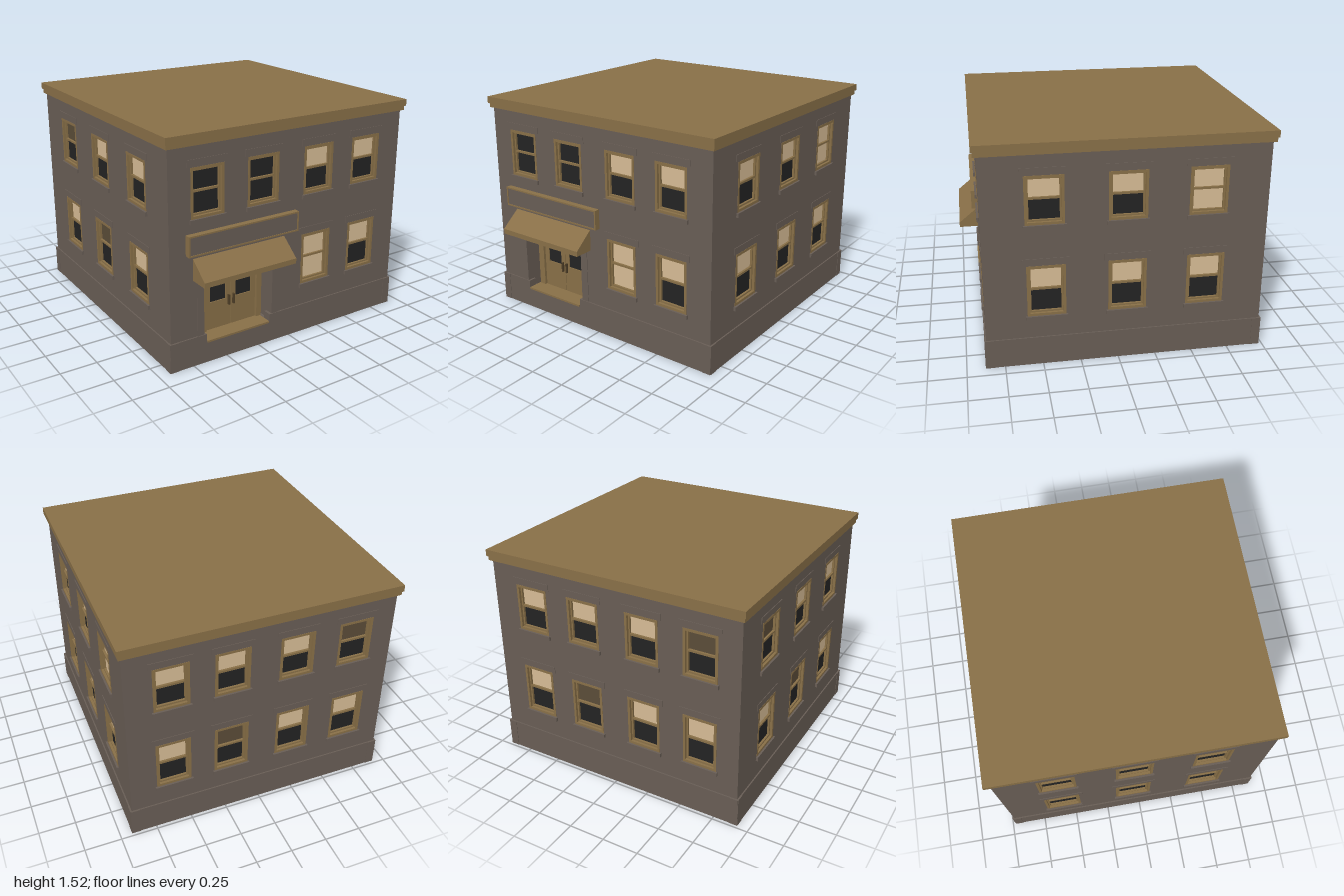
import * as THREE from 'three';

const mat = (name, color, side = THREE.FrontSide) => {
  const m = new THREE.MeshStandardMaterial({ color, side });
  m.name = name;
  return m;
};

export function createModel() {
  const wallMat = mat('wall', 0x685d55);
  const trimMat = mat('tan trim', 0x886f47);
  const handleMat = mat('dark bronze', 0x4f3f28);
  const creamMat = mat('cream blind', 0xd6bb95);
  const darkMat = mat('dark glass', 0x232323);
  const dimMat = mat('dim interior', 0x5a4c38);

  const model = new THREE.Group();
  model.name = 'building';

  const add = (parent, name, geometry, material, x = 0, y = 0, z = 0) => {
    const m = new THREE.Mesh(geometry, material);
    m.name = name;
    m.position.set(x, y, z);
    parent.add(m);
    return m;
  };
  // box given by its limits
  const box = (parent, name, material, x0, x1, y0, y1, z0, z1) =>
    add(parent, name, new THREE.BoxGeometry(x1 - x0, y1 - y0, z1 - z0), material,
      (x0 + x1) / 2, (y0 + y1) / 2, (z0 + z1) / 2);
  const rectPath = (p, x0, x1, y0, y1) => {
    p.moveTo(x0, y0);
    p.lineTo(x1, y0);
    p.lineTo(x1, y1);
    p.lineTo(x0, y1);
    p.closePath();
    return p;
  };
  // rectangular panel with rectangular holes, from z0 to z1
  const panel = (parent, name, material, outer, holes, z0, z1) => {
    const s = rectPath(new THREE.Shape(), ...outer);
    holes.forEach((h) => s.holes.push(rectPath(new THREE.Path(), ...h)));
    return add(parent, name, new THREE.ExtrudeGeometry(s, { depth: z1 - z0, bevelEnabled: false }),
      material, 0, 0, z0);
  };
  const inset = ([x0, x1, y0, y1], d) => [x0 + d, x1 - d, y0 + d, y1 - d];

  const panes = { c: creamMat, d: darkMat, i: dimMat };
  // sash window; code gives the upper and lower pane
  const addWindow = (parent, rect, code) => {
    const g = new THREE.Group();
    g.name = 'window';
    parent.add(g);
    const [x0, x1, y0, y1] = rect;
    const sash = inset(rect, 0.017), glass = inset(rect, 0.028);
    const mid = (y0 + y1) / 2 + 0.008;
    panel(g, 'windowFrame', trimMat, rect, [sash], -0.05, 0.002);
    panel(g, 'windowSash', trimMat, sash, [glass], -0.045, -0.015);
    box(g, 'meetingRail', trimMat, glass[0], glass[1], mid - 0.007, mid + 0.007, -0.045, -0.015);
    box(g, 'upperPane', panes[code[0]], glass[0], glass[1], mid, glass[3], -0.037, -0.03);
    box(g, 'lowerPane', panes[code[1]], glass[0], glass[1], glass[2], mid, -0.037, -0.03);
    box(g, 'windowSill', wallMat, x0 - 0.011, x1 + 0.011, y0 - 0.028, y0, -0.04, 0.015);
    box(g, 'lintel', wallMat, x0 - 0.025, x1 + 0.025, y1 + 0.006, y1 + 0.05, -0.02, 0.004);
  };

  const zc = -0.051, halfX = 0.91, halfZ = 0.917;
  const rows = [[0.99, 1.313], [0.356, 0.71]];
  const doorHole = [-0.67, -0.145, 0.15, 0.6];
  const walls = [
    { name: 'frontWall', rot: 0, half: halfX, dist: halfZ, w: 0.237,
      xs: [-0.638, -0.228, 0.21, 0.61], codes: [['dd', 'dd', 'cd', 'cd'], ['', '', 'cc', 'cd']], holes: [doorHole] },
    { name: 'rightSideWall', rot: Math.PI / 2, half: halfZ, dist: halfX, w: 0.25,
      xs: [-0.519, 0.005, 0.521], codes: [['cd', 'cd', 'cc'], ['cd', 'cd', 'cd']], holes: [] },
    { name: 'backWall', rot: Math.PI, half: halfX, dist: halfZ, w: 0.237,
      xs: [-0.61, -0.21, 0.228, 0.638], codes: [['cd', 'cd', 'cd', 'id'], ['cd', 'id', 'cd', 'cd']], holes: [] },
    { name: 'leftSideWall', rot: -Math.PI / 2, half: halfZ, dist: halfX, w: 0.25,
      xs: [-0.521, -0.005, 0.519], codes: [['id', 'cd', 'cd'], ['cd', 'id', 'cd']], holes: [] },
  ];

  // walls with their windows
  for (const wl of walls) {
    const g = new THREE.Group();
    g.name = wl.name;
    g.rotation.y = wl.rot;
    g.position.set(Math.sin(wl.rot) * wl.dist, 0, zc + Math.cos(wl.rot) * wl.dist);
    model.add(g);
    const holes = [...wl.holes];
    rows.forEach(([y0, y1], r) => wl.xs.forEach((x, i) => {
      const code = wl.codes[r][i];
      if (!code) return;
      const rect = [x - wl.w / 2, x + wl.w / 2, y0, y1];
      holes.push(rect);
      addWindow(g, rect, code);
    }));
    panel(g, 'wallPanel', wallMat, [-wl.half, wl.half, 0.02, 1.46], holes, -0.06, 0);
    // plinth, left open at the doorway on the front
    const b = wl.half + 0.012;
    const spans = wl.holes.length ? [[-b, -0.655], [-0.165, b]] : [[-b, b]];
    spans.forEach(([p, q]) => box(g, 'plinth', wallMat, p, q, 0, 0.2, -0.05, 0.009));
    if (wl.holes.length) box(g, 'plinthBelowDoor', wallMat, -0.655, -0.165, 0, 0.148, -0.05, 0.009);
  }
  box(model, 'floorSlab', wallMat, -0.9, 0.9, 0.001, 0.02, zc - 0.9, zc + 0.9);

  // stepped cornice and flat roof
  box(model, 'lowerCornice', trimMat, -0.927, 0.927, 1.45, 1.48, zc - 0.937, zc + 0.937);
  box(model, 'roof', trimMat, -0.935, 0.935, 1.48, 1.525, zc - 0.947, zc + 0.947);

  // recessed entrance
  const entrance = new THREE.Group();
  entrance.name = 'entrance';
  entrance.position.z = zc + halfZ;
  model.add(entrance);
  const [dx0, dx1, dy0, dy1] = doorHole;
  box(entrance, 'recessLeft', wallMat, dx0 - 0.02, dx0, dy0, dy1, -0.14, -0.01);
  box(entrance, 'recessRight', wallMat, dx1, dx1 + 0.02, dy0, dy1, -0.14, -0.01);
  box(entrance, 'recessCeiling', wallMat, dx0, dx1, dy1, dy1 + 0.02, -0.14, -0.01);
  box(entrance, 'recessBack', wallMat, dx0, dx1, dy0, dy1, -0.15, -0.13);
  box(entrance, 'threshold', trimMat, -0.65, -0.17, 0.14, 0.153, -0.14, 0.014);
  for (const [a, b] of [[-0.72, dx0], [dx1, -0.09]])
    box(entrance, 'doorCasing', wallMat, a, b, 0.2, 0.6, -0.02, 0.004);
  panel(entrance, 'doorFrame', trimMat, [-0.645, -0.165, 0.15, 0.59], [[-0.597, -0.203, 0.15, 0.572]], -0.13, -0.09);
  for (const s of [-1, 1]) {
    const cx = -0.4 + s * 0.098;
    const pane = [cx - 0.06, cx + 0.06, 0.345, 0.53];
    panel(entrance, 'doorLeaf', trimMat, [cx - 0.096, cx + 0.096, 0.153, 0.57], [pane], -0.13, -0.105);
    box(entrance, 'doorGlass', darkMat, ...pane, -0.12, -0.112);
    box(entrance, 'doorHandle', handleMat, -0.4 + s * 0.018 - 0.005, -0.4 + s * 0.018 + 0.005, 0.3, 0.37, -0.105, -0.088);
  }

  // sloping awning over the door
  const profile = new THREE.Shape([[0, 0.59], [0.134, 0.59], [0.134, 0.625], [0, 0.735]]
    .map(([a, b]) => new THREE.Vector2(a, b)));
  const awning = new THREE.ExtrudeGeometry(profile, { depth: 0.69, bevelEnabled: false }).rotateY(-Math.PI / 2);
  add(entrance, 'awning', awning, trimMat, -0.055, 0, 0);

  // blank sign board with a tan border
  const board = [-0.795, 0.03, 0.765, 0.9];
  panel(entrance, 'signFrame', trimMat, board, [inset(board, 0.01)], 0, 0.04);
  box(entrance, 'signFace', wallMat, ...inset(board, 0.01), 0, 0.036);

  return model;
}
